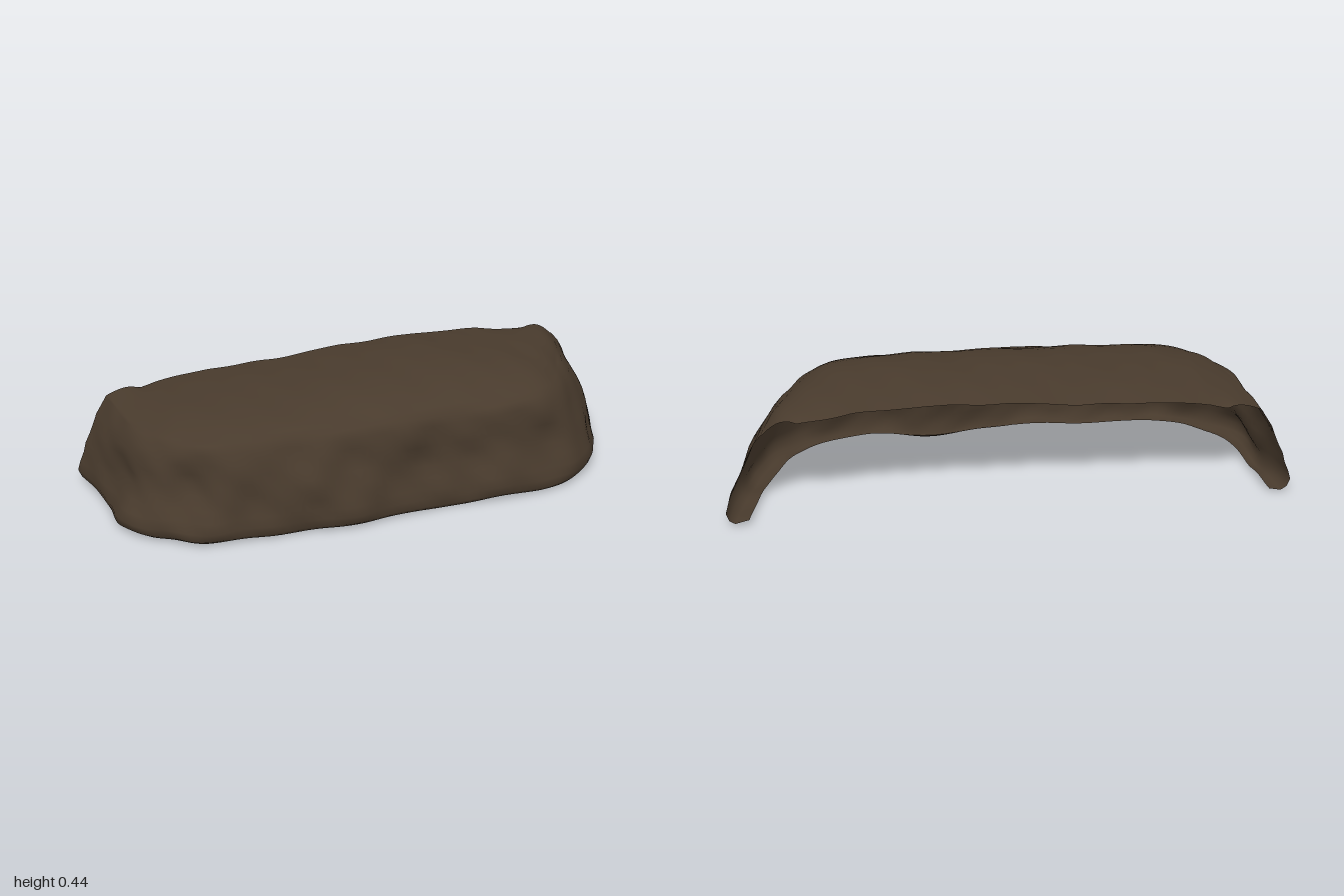
import * as THREE from 'three';

const BACK = -0.335;

// Smooth curve through [x, z] pairs
const curve = (pts) => new THREE.CatmullRomCurve3(pts.map(([x, z]) => new THREE.Vector3(x, 0, z)));

// Widest outline near the ground, from right back around the front to left back
const foot = curve([
  [-0.995, BACK], [-0.975, -0.2], [-0.945, -0.05], [-0.935, 0.08], [-0.87, 0.17], [-0.77, 0.24], [-0.65, 0.295],
  [-0.5, 0.31], [-0.3, 0.31], [-0.17, 0.325], [0, 0.305], [0.2, 0.28], [0.35, 0.285], [0.5, 0.295],
  [0.62, 0.28], [0.73, 0.24], [0.83, 0.15], [0.9, 0.03], [0.94, -0.1], [0.97, -0.22], [1, BACK],
]);
// Outline of the shoulder where the sides turn into the top
const shoulder = curve([
  [-0.885, BACK], [-0.87, -0.2], [-0.85, -0.06], [-0.82, 0.04], [-0.78, 0.12], [-0.71, 0.18], [-0.62, 0.22],
  [-0.48, 0.235], [-0.3, 0.25], [-0.15, 0.25], [0, 0.25], [0.18, 0.24], [0.34, 0.24], [0.48, 0.235],
  [0.59, 0.21], [0.66, 0.165], [0.72, 0.08], [0.765, -0.02], [0.81, -0.13], [0.84, -0.23], [0.86, BACK],
]);

// Heights along x as [x, y] pairs
const crestPoints = [[-0.9, 0.34], [-0.7, 0.388], [-0.5, 0.41], [-0.25, 0.416], [0, 0.437], [0.3, 0.445], [0.55, 0.432], [0.8, 0.396], [0.9, 0.36]];
const rimPoints = [[-0.9, 0.335], [-0.6, 0.355], [0.6, 0.36], [0.9, 0.345]];
function heightAt(points, x) {
  const i = Math.max(1, points.findIndex((p) => x <= p[0]));
  return THREE.MathUtils.mapLinear(x, points[i - 1][0], points[i][0], points[i - 1][1], points[i][1]);
}

// Wall rows: [blend from foot to shoulder, share of the shoulder height, roughness]
const wall = [
  [0.62, 0.066, 0.3], [0.25, 0.036, 0.4], [0.08, 0.075, 0.7], [0, 0.16, 0.8], [0.1, 0.26, 1], [0.22, 0.37, 1],
  [0.31, 0.48, 1], [0.4, 0.59, 1], [0.5, 0.7, 1], [0.63, 0.81, 0.9], [0.8, 0.91, 0.7], [1, 1, 0.5],
];
const topSteps = [0.05, 0.11, 0.19, 0.3, 0.43, 0.57, 0.72, 0.86, 1];

// Lumpy but repeatable roughness
const rough = (x, y, z) =>
  0.5 * Math.sin(11 * x + 7 * y + 3) * Math.cos(13 * z - 9 * y) +
  0.35 * Math.sin(23 * x - 17 * y + 9 * z) +
  0.3 * Math.sin(37 * x + 21 * y + 1.7) * Math.sin(29 * y + 19 * z + 0.6);

// Hollows in the walls, or bulges where the depth is negative: [x, y, z, width, height, depth]
const hollows = [
  [0.2, 0.19, 0.27, 0.18, 0.07, 0.028],
  [-0.12, 0.24, 0.28, 0.12, 0.05, 0.012],
  [0.57, 0.21, 0.25, 0.1, 0.09, 0.035],
  [-0.72, 0.2, 0.22, 0.1, 0.1, 0.035],
  [-0.9, 0.17, 0.02, 0.16, 0.08, 0.028],
  [-0.3, 0.19, 0.28, 0.12, 0.07, -0.014],
];
const hollowDepth = (p) => hollows.reduce((sum, [x, y, z, w, h, depth]) =>
  sum + depth * Math.exp(-(((p.x - x) ** 2 + (p.z - z) ** 2) / w ** 2) - ((p.y - y) / h) ** 2), 0);

function rockShell() {
  const columns = 110, positions = [], indices = [];
  const rows = wall.length + topSteps.length;
  for (let i = 0; i <= columns; i++) {
    const t = i / columns;
    const a = foot.getPoint(t), b = shoulder.getPoint(t);
    const tangent = foot.getTangent(t);
    const inward = new THREE.Vector3(tangent.z, 0, -tangent.x);
    const isEnd = i === 0 || i === columns;
    const rim = heightAt(rimPoints, b.x);

    // Sides with an inward lip at the ground
    for (const [blend, share, amount] of wall) {
      const p = a.clone().lerp(b, blend);
      p.y = share * rim;
      p.addScaledVector(inward, 0.015 * amount * rough(p.x, p.y, p.z) + hollowDepth(p));
      p.y += 0.009 * rough(p.z + 2, 0.3, p.x);
      if (isEnd) p.z = BACK;
      positions.push(p.x, Math.max(p.y, 0.003), Math.max(p.z, BACK));
    }
    // Top running from the shoulder to the open back edge
    for (const f of topSteps) {
      const x = b.x * (1 - 0.14 * f);
      const z = f === 1 || isEnd ? BACK : THREE.MathUtils.lerp(b.z, BACK, f);
      const rise = 1 - (1 - f) ** 5;
      const y = rim + (heightAt(crestPoints, x) - rim) * rise - 0.02 * f ** 5 + 0.006 * rough(x, 0.4, z);
      positions.push(x, y, z);
    }
  }
  for (let i = 0; i < columns; i++) {
    for (let j = 0; j < rows - 1; j++) {
      const p = i * rows + j, q = p + rows;
      indices.push(p, q, p + 1, q, q + 1, p + 1);
    }
  }
  const geometry = new THREE.BufferGeometry();
  geometry.setAttribute('position', new THREE.Float32BufferAttribute(positions, 3));
  geometry.setIndex(indices);
  geometry.computeVertexNormals();
  return geometry;
}

export function createModel() {
  const group = new THREE.Group();
  group.name = 'rockLedge';
  const stone = new THREE.MeshStandardMaterial({ color: 0x493b2d, side: THREE.DoubleSide });
  stone.name = 'brown stone';
  const shell = new THREE.Mesh(rockShell(), stone);
  shell.name = 'rockShell';
  group.add(shell);
  return group;
}
